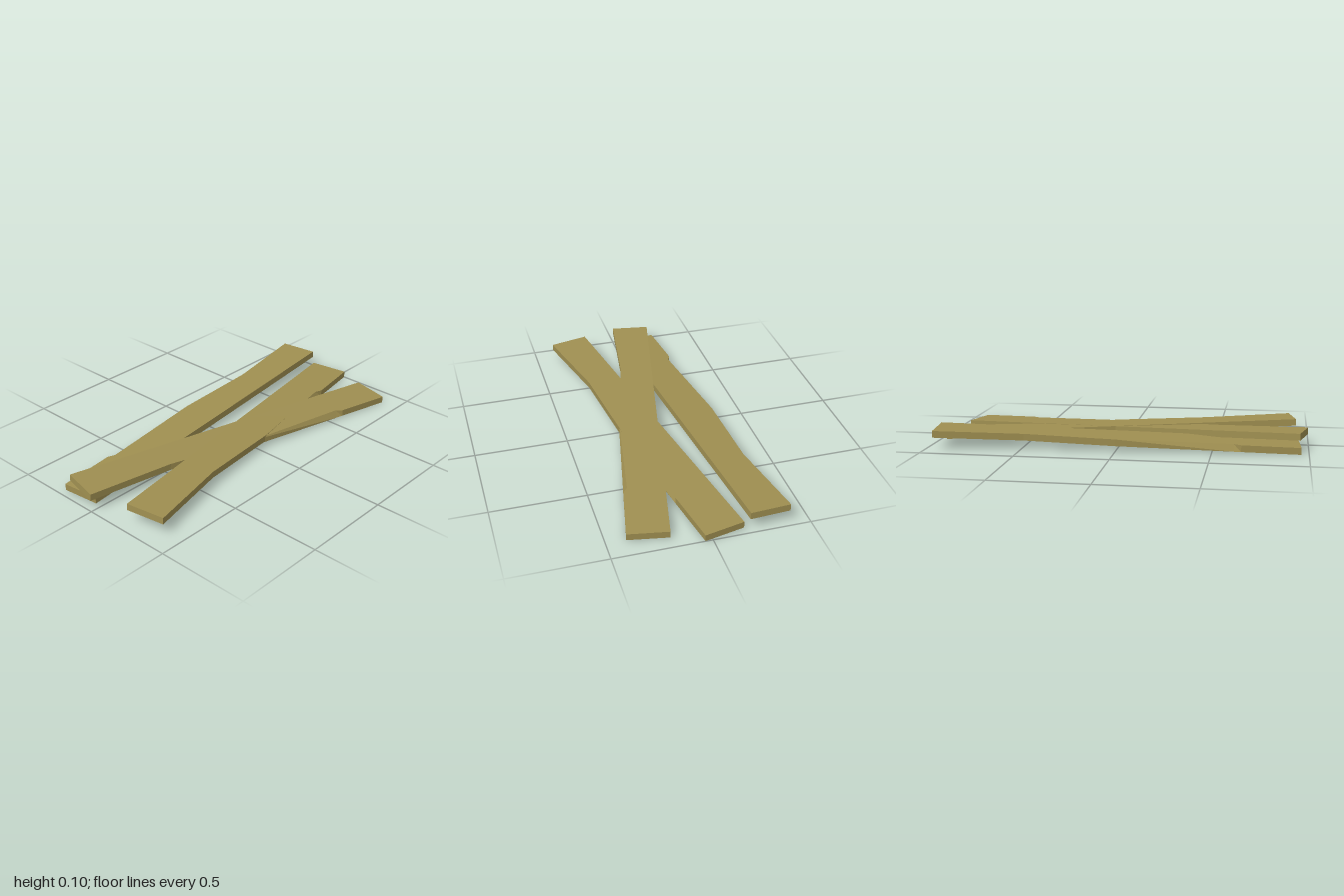
import * as THREE from 'three';

const LENGTH = 1.93, WIDTH = 0.212, THICK = 0.036;

// Worn edge: [position along the plank, inset of top edge, inset of bottom edge]
const SECTIONS = [
  [0, 0, 0], [0.25, 0.031, 0.031], [0.5, 0, 0],
  [0.82, 0.02, 0], [0.84, 0, 0], [1, 0, 0],
];

// Plank along z, built from four-cornered cross-sections, worn edge on -x
function plankGeometry() {
  const w = WIDTH / 2, h = THICK / 2;
  const pos = [], index = [];
  for (const [s, top, bottom] of SECTIONS) {
    const z = (s - 0.5) * LENGTH;
    pos.push(w, h, z, -w + top, h, z, -w + bottom, -h, z, w, -h, z);
  }
  for (let i = 0; i < SECTIONS.length - 1; i++) {
    for (let j = 0; j < 4; j++) {
      const a = i * 4 + j, b = i * 4 + (j + 1) % 4;
      index.push(a, b, b + 4, a, b + 4, a + 4);
    }
  }
  // End caps
  const e = (SECTIONS.length - 1) * 4;
  index.push(0, 2, 1, 0, 3, 2, e, e + 1, e + 2, e, e + 2, e + 3);
  const indexed = new THREE.BufferGeometry();
  indexed.setAttribute('position', new THREE.Float32BufferAttribute(pos, 3));
  indexed.setIndex(index);
  const geo = indexed.toNonIndexed();
  geo.computeVertexNormals();
  return geo;
}

export function createModel() {
  const group = new THREE.Group();
  group.name = 'plankPile';
  const wood = new THREE.MeshStandardMaterial({ color: 0x9f8f51, flatShading: true });
  const geo = plankGeometry();

  // Three planks, each tilted with its -z end raised: [name, x, z, heading]
  const planks = [
    ['rightPlank', -0.218, -0.01, 0.084],
    ['crossPlankA', 0.1155, -0.0325, -2.953],
    ['crossPlankB', 0.095, 0.031, 2.932],
  ];
  for (const [name, x, z, heading] of planks) {
    const plank = new THREE.Mesh(geo, wood);
    plank.name = name;
    plank.position.set(x, 0.0515, z);
    plank.rotation.set(0.032, heading, 0.026, 'YXZ');
    group.add(plank);
  }
  return group;
}
